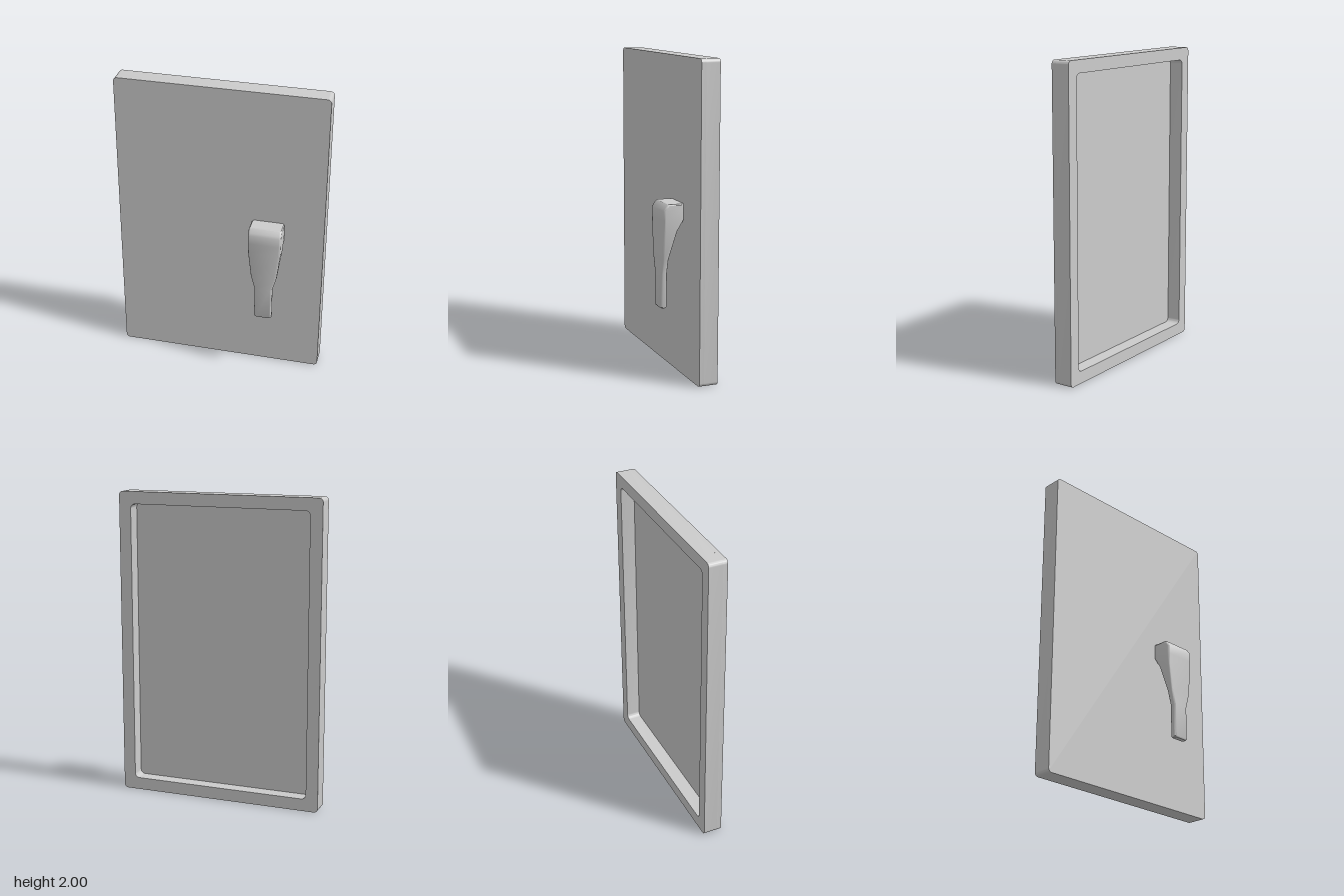
import * as THREE from 'three';
import { toCreasedNormals } from 'three/addons/utils/BufferGeometryUtils.js';

const material = new THREE.MeshStandardMaterial({ color: 0xcccccc });

function addPart(group, name, geometry) {
  const mesh = new THREE.Mesh(toCreasedNormals(geometry, 0.7), material);
  mesh.name = name;
  group.add(mesh);
  return mesh;
}

// Rectangle with rounded corners, centred on the panel
function roundedRect(path, hw, hh, r) {
  path.moveTo(hw, -hh + r);
  path.lineTo(hw, hh - r);
  path.absarc(hw - r, hh - r, r, 0, Math.PI / 2);
  path.absarc(-hw + r, hh - r, r, Math.PI / 2, Math.PI);
  path.absarc(-hw + r, -hh + r, r, Math.PI, Math.PI * 1.5);
  path.absarc(hw - r, -hh + r, r, Math.PI * 1.5, Math.PI * 2);
  return path;
}

// Loft of rounded rectangles stacked along y: [y, half width, back z, front z]
function loft(sections, radius, steps = 3) {
  const positions = [], index = [];
  const n = 4 * (steps + 1);
  for (const [y, hw, zb, zf] of sections) {
    const hd = (zf - zb) / 2, zc = (zf + zb) / 2;
    const r = Math.min(radius, hd * 0.8);
    for (let q = 0; q < 4; q++) {
      const sx = q === 0 || q === 3 ? 1 : -1, sz = q < 2 ? 1 : -1;
      for (let s = 0; s <= steps; s++) {
        const a = (q + s / steps) * Math.PI / 2;
        positions.push(sx * (hw - r) + r * Math.cos(a), y, zc + sz * (hd - r) + r * Math.sin(a));
      }
    }
  }
  const last = (sections.length - 1) * n;
  for (let i = 0; i < last; i += n) {
    for (let j = 0; j < n; j++) {
      const k = (j + 1) % n;
      index.push(i + j, i + n + j, i + k, i + k, i + n + j, i + n + k);
    }
  }
  for (let j = 1; j < n - 1; j++) {
    index.push(0, j, j + 1, last, last + j + 1, last + j);
  }
  const geometry = new THREE.BufferGeometry();
  geometry.setAttribute('position', new THREE.Float32BufferAttribute(positions, 3));
  geometry.setIndex(index);
  return geometry;
}

export function createModel() {
  const group = new THREE.Group();
  group.name = 'doorPanelWithHandle';
  const W = 0.68, H = 1, rim = 0.08, corner = 0.025;
  const back = -0.127, front = -0.006, skin = 0.03;

  // Front skin of the door
  const skinShape = roundedRect(new THREE.Shape(), W, H, corner);
  const skinGeometry = new THREE.ExtrudeGeometry(skinShape, { depth: skin, bevelEnabled: false, curveSegments: 4 });
  addPart(group, 'doorFace', skinGeometry).position.set(0, H, front - skin);

  // Raised rim around the recessed back
  const rimShape = roundedRect(new THREE.Shape(), W, H, corner);
  rimShape.holes.push(roundedRect(new THREE.Path(), W - rim, H - rim, 0.03));
  const rimGeometry = new THREE.ExtrudeGeometry(rimShape, { depth: front - skin - back, bevelEnabled: false, curveSegments: 4 });
  addPart(group, 'backRim', rimGeometry).position.set(0, H, back);

  // Tapered lever handle, joined to the door at its wide top
  const handle = loft([
    [0.433, 0.052, 0.09, 0.122],
    [0.441, 0.058, 0.085, 0.127],
    [0.658, 0.058, 0.085, 0.127],
    [0.75, 0.084, 0.085, 0.127],
    [0.93, 0.105, 0.036, 0.127],
    [1.0, 0.107, front, 0.127],
    [1.06, 0.107, front, 0.127],
    [1.075, 0.107, front, 0.118],
    [1.093, 0.107, front, 0.104],
    [1.1, 0.101, front, 0.096],
  ], 0.013);
  addPart(group, 'handle', handle).position.x = 0.318;

  return group;
}
